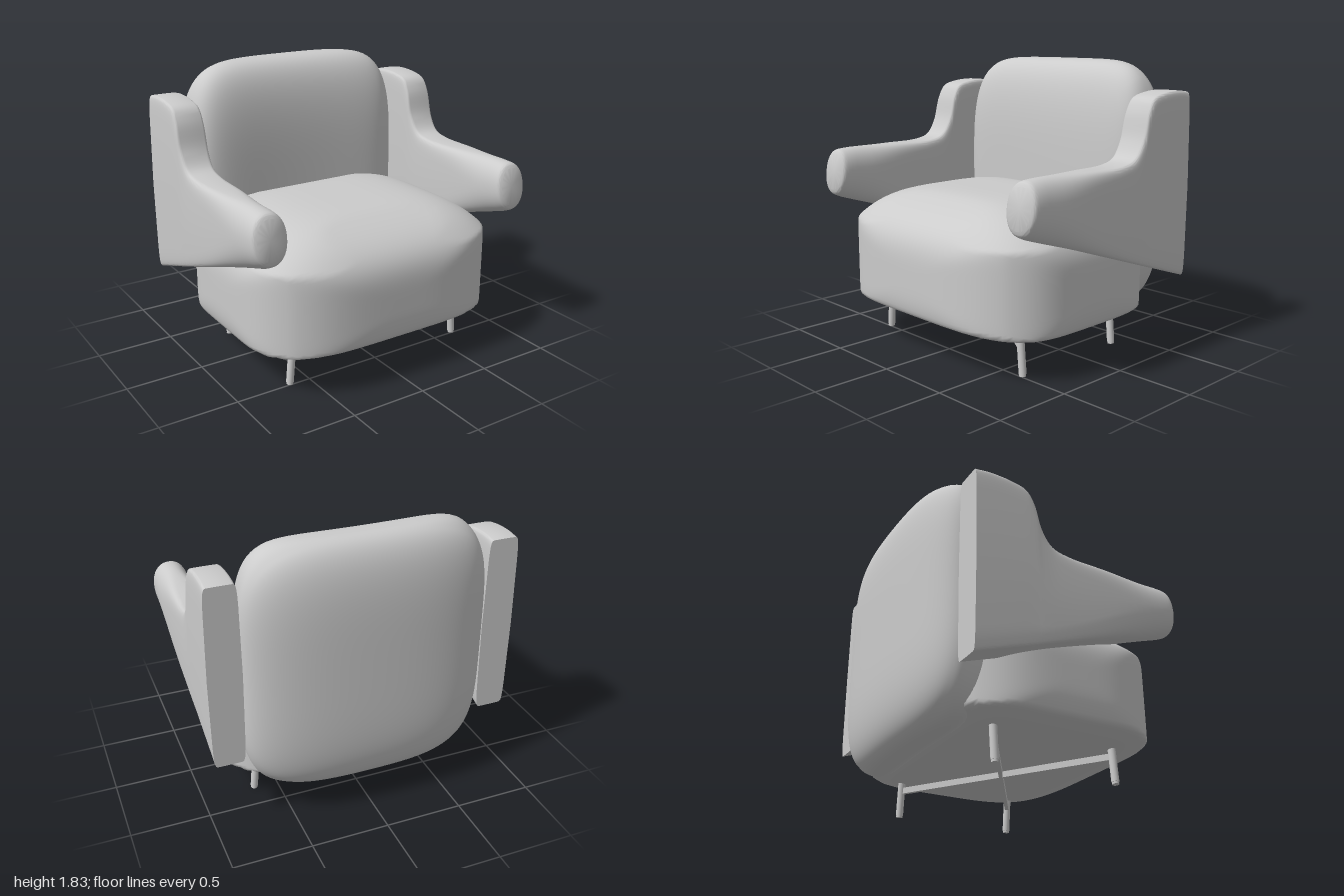
import * as THREE from 'three';
import { mergeVertices, toCreasedNormals } from 'three/addons/utils/BufferGeometryUtils.js';

const { lerp, smoothstep } = THREE.MathUtils;
const material = new THREE.MeshStandardMaterial({ color: 0xcccccc, roughness: 0.8 });

function addMesh(parent, name, geometry) {
  const mesh = new THREE.Mesh(geometry, material);
  mesh.name = name;
  parent.add(mesh);
  return mesh;
}

// Plump cushion: each point of a box is pushed along its ray to the surface where fill(p) = 1
function cushion(size, fill, place) {
  let geometry = new THREE.BoxGeometry(2, 2, 2, 32, 32, 32);
  geometry.deleteAttribute('normal');
  geometry.deleteAttribute('uv');
  geometry = mergeVertices(geometry);
  const pos = geometry.attributes.position;
  const ray = new THREE.Vector3();
  const p = new THREE.Vector3();
  for (let i = 0; i < pos.count; i++) {
    ray.fromBufferAttribute(pos, i).multiply(size);
    let low = 0, high = 2;
    for (let k = 0; k < 28; k++) {
      const mid = (low + high) / 2;
      if (fill(p.copy(ray).multiplyScalar(mid)) < 1) low = mid;
      else high = mid;
    }
    place(p.copy(ray).multiplyScalar(low));
    pos.setXYZ(i, p.x, p.y, p.z);
  }
  geometry.computeVertexNormals();
  return geometry;
}

// Seat: six bulging faces that meet in soft seams
function seatFill({ x, y, z }) {
  const dx = (x / 0.745) ** 4, dy = (y / 0.3) ** 4, dz = (z / 0.575) ** 4;
  return Math.max(
    (Math.abs(x) + 0.145 * Math.hypot(dz, 0.4 * dy)) / 0.89,
    (Math.abs(z) + 0.15 * Math.hypot(dx, 0.4 * dy)) / 0.73,
    (y + 0.12 * dx + 0.1 * dz) / 0.49,
    (-y + 0.04 * (dx + dz)) / 0.325,
  );
}

// Backrest: flat front right up to the sides, rounder back
function backFill({ x, y, z }) {
  const front = smoothstep(z, -0.4, 0.3);
  return Math.abs(x) ** lerp(4, 7, front) + Math.abs(y) ** lerp(4.5, 3.4, front)
    + Math.abs(z) ** lerp(2.5, 3, front);
}

// Armrest lofted along z: oval at the front tip, boxy at the tall rear wing
function armGeometry() {
  const topLine = new THREE.CatmullRomCurve3([
    [-0.645, 1.645], [-0.55, 1.655], [-0.4, 1.645], [-0.3, 1.615], [-0.25, 1.54], [-0.2, 1.37],
    [-0.13, 1.27], [-0.02, 1.238], [0.3, 1.235], [0.68, 1.235], [0.735, 1.225], [0.75, 1.2],
  ].map(([z, y]) => new THREE.Vector3(0, y, z)));
  const stations = topLine.getPoints(66);
  const sides = 48;
  const verts = [];
  const index = [];
  for (const { y: top, z } of stations) {
    const inset = z > 0.5 ? Math.max(0, 1.235 - top) : 0;
    const bottom = 0.48 + 0.332 * (z + 0.6) + inset;
    const blend = smoothstep(z, -0.3, 0.6);
    const n = lerp(15, 2.2, Math.sqrt(blend));
    const halfWidth = lerp(0.106, 0.115, blend) - inset * 0.8;
    const lean = 0.14 * smoothstep(z, 0.3, 0.75);
    for (let j = 0; j < sides; j++) {
      const a = (j / sides) * Math.PI * 2;
      const c = Math.cos(a), s = Math.sin(a);
      const sx = Math.sign(c) * Math.abs(c) ** (2 / n);
      const sy = Math.sign(s) * Math.abs(s) ** (2 / n);
      const y = (top + bottom) / 2 + (sy * (top - bottom)) / 2;
      const bow = 1 - 0.09 * (1 - blend) * sy * sy;
      verts.push(sx * halfWidth * bow, y, z - lean * (y - 1.085));
    }
  }
  const last = (stations.length - 1) * sides;
  const rear = verts.length / 3;
  verts.push(0, 1.06, -0.645, 0, 1.085, 0.75);
  for (let j = 0; j < sides; j++) {
    const k = (j + 1) % sides;
    for (let r = 0; r < last; r += sides) {
      index.push(r + j, r + k, r + sides + k, r + j, r + sides + k, r + sides + j);
    }
    index.push(rear, k, j, rear + 1, last + j, last + k);
  }
  const geometry = new THREE.BufferGeometry();
  geometry.setAttribute('position', new THREE.Float32BufferAttribute(verts, 3));
  geometry.setIndex(index);
  return toCreasedNormals(geometry, 0.7);
}

export function createModel() {
  const chair = new THREE.Group();
  chair.name = 'armchair';

  addMesh(chair, 'seat', cushion(new THREE.Vector3(0.745, 0.28, 0.575), seatFill,
    (p) => p.set(p.x, p.y + 0.52, p.z + 0.08)));

  // Backrest sides wrap gently forward
  addMesh(chair, 'backrest', cushion(new THREE.Vector3(1, 1, 1), backFill,
    (p) => p.set(p.x * 0.79, 1.013 + p.y * 0.818,
      -0.62 + p.z * (p.z > 0 ? 0.26 : 0.195) + 0.05 * p.x * p.x)));

  // Armrests
  const arm = armGeometry();
  addMesh(chair, 'leftArm', arm).position.x = 0.885;
  addMesh(chair, 'rightArm', arm).position.x = -0.885;

  // Base: legs splayed slightly sideways, with small feet
  const base = new THREE.Group();
  base.name = 'base';
  base.position.x = 0.011;
  chair.add(base);
  for (const side of [1, -1]) {
    for (const z of [0.487, -0.33]) {
      const leg = new THREE.Group();
      leg.name = (z > 0 ? 'front' : 'back') + (side > 0 ? 'Left' : 'Right') + 'Leg';
      leg.position.set(side * 0.645, 0, z);
      leg.rotation.z = side * 0.09;
      addMesh(leg, 'legTube', new THREE.CylinderGeometry(0.024, 0.024, 0.225, 20)).position.y = 0.1275;
      addMesh(leg, 'foot', new THREE.CylinderGeometry(0.021, 0.021, 0.015, 20)).position.y = 0.0085;
      base.add(leg);
    }
  }

  // Crossed bars under the seat joining opposite legs
  for (const side of [1, -1]) {
    const bar = addMesh(base, 'crossBar',
      new THREE.BoxGeometry(2 * Math.hypot(0.63, 0.4085), 0.04, 0.025));
    bar.position.set(0, 0.176, 0.0785);
    bar.rotation.y = side * Math.atan2(0.4085, 0.63);
  }
  return chair;
}
